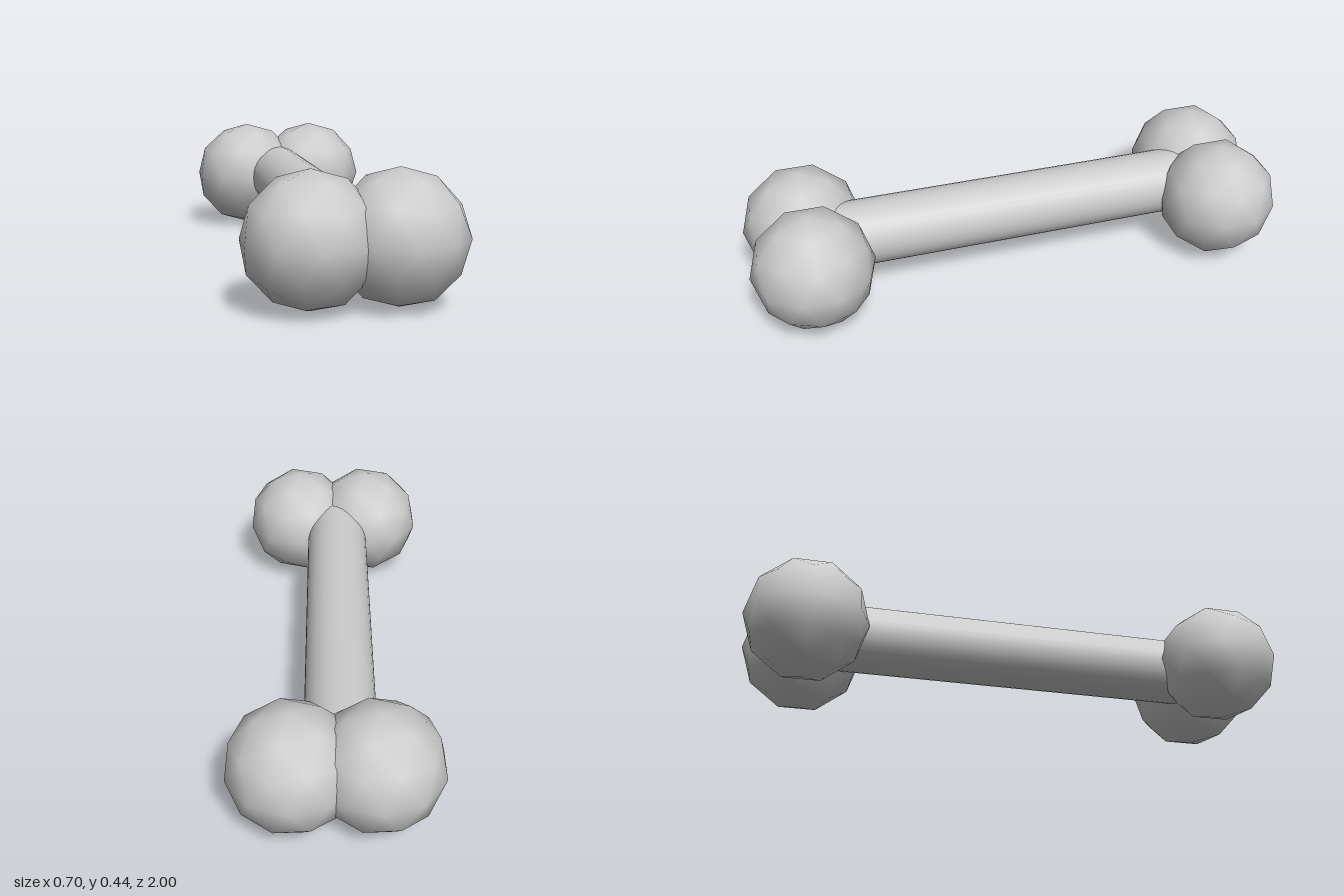
import * as THREE from 'three';

const R = 0.2215;

export function createModel() {
  const group = new THREE.Group();
  const material = new THREE.MeshStandardMaterial({ color: 0xcccccc });

  // Smooth-shaded low-poly ball, turned so that a pole vertex points straight up
  const ball = new THREE.IcosahedronGeometry(R, 1);
  ball.rotateZ(-Math.atan(2 / (1 + Math.sqrt(5))));

  // Two knobs at each end
  for (const [zSide, end] of [[1, 'front'], [-1, 'back']]) {
    for (const [xSide, side] of [[1, 'Left'], [-1, 'Right']]) {
      const knob = new THREE.Mesh(ball, material);
      knob.name = `${end}${side}Knob`;
      knob.position.set(xSide * 0.1415, R, zSide * (1 - R));
      group.add(knob);
    }
  }

  // Round shaft, slightly off centre, with its ends buried in the knobs
  const shaft = new THREE.Mesh(new THREE.CylinderGeometry(0.123, 0.123, 1.5, 32), material);
  shaft.name = 'shaft';
  shaft.rotation.x = Math.PI / 2;
  shaft.position.set(-0.017, 0.225, 0);
  group.add(shaft);

  return group;
}
